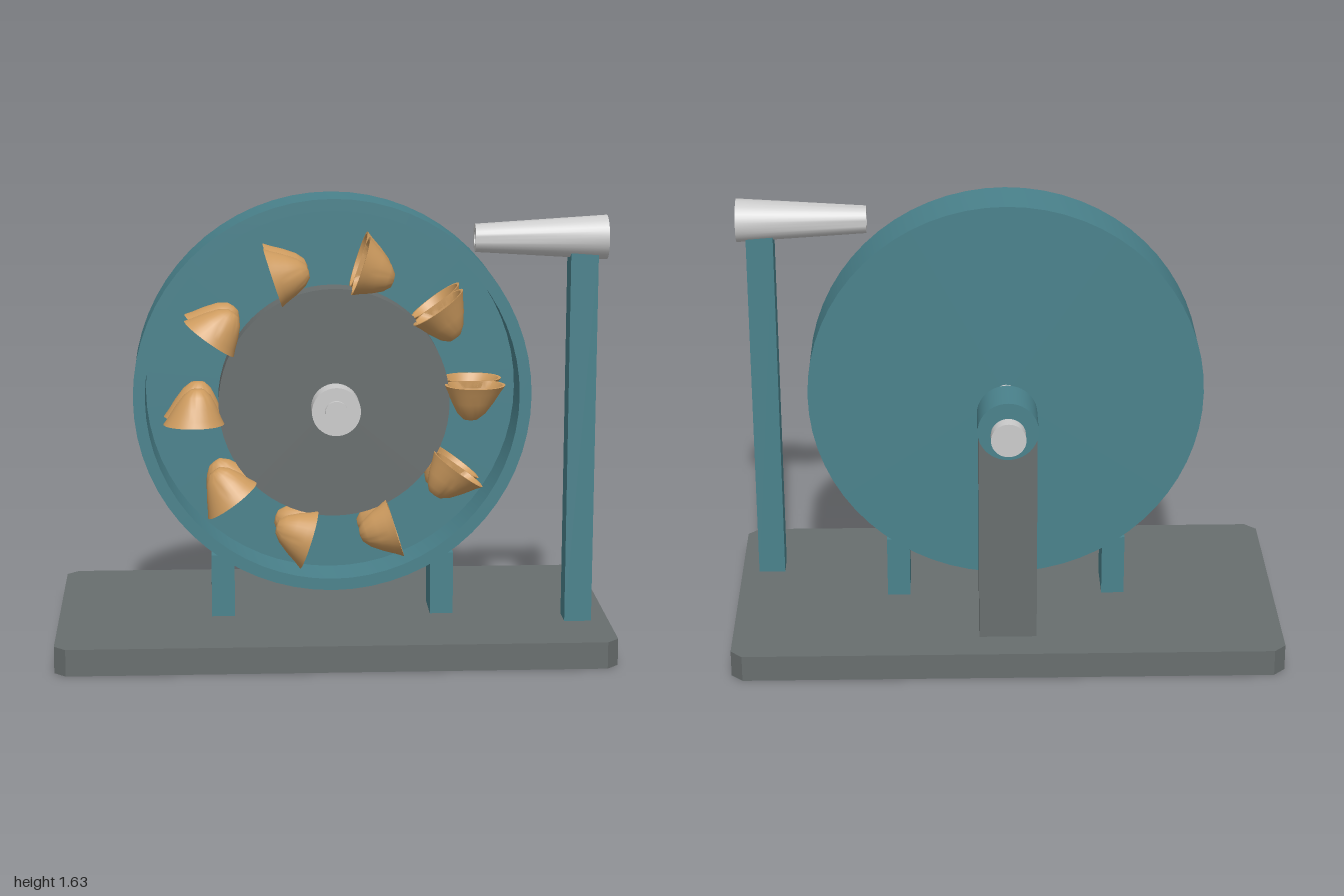
import * as THREE from 'three';
import { toCreasedNormals, mergeGeometries } from 'three/addons/utils/BufferGeometryUtils.js';

const mat = (color, side = THREE.FrontSide) => new THREE.MeshStandardMaterial({ color, side });
const teal = mat(0x4a828c), dark = mat(0x686e6e), steel = mat(0xcccccc);
const bronze = mat(0xcc9a5e, THREE.DoubleSide);

const AXIS_Y = 0.915;   // height of the shaft
const WHEEL_Z = 0.2;    // middle plane of runner and nozzle

export function createModel() {
  const model = new THREE.Group();

  const add = (name, geometry, material, x = 0, y = 0, z = 0, parent = model) => {
    const mesh = new THREE.Mesh(geometry, material);
    mesh.name = name;
    mesh.position.set(x, y, z);
    parent.add(mesh);
    return mesh;
  };
  // Box given by its extents
  const box = (name, material, x0, x1, y0, y1, z0, z1) =>
    add(name, new THREE.BoxGeometry(x1 - x0, y1 - y0, z1 - z0), material,
      (x0 + x1) / 2, (y0 + y1) / 2, (z0 + z1) / 2);
  // Cylinder along z on the shaft axis
  const disc = (name, material, r, z0, z1, sides = 40) =>
    add(name, new THREE.CylinderGeometry(r, r, z1 - z0, sides).rotateX(Math.PI / 2),
      material, 0, AXIS_Y, (z0 + z1) / 2);
  // Turned solid from [radius, height] pairs
  const turned = (points, sides, crease = 0.6) => toCreasedNormals(
    new THREE.LatheGeometry(points.map(p => new THREE.Vector2(...p)), sides), crease);

  // Base plate with cut corners
  const c = 0.042, w = 1, d = 0.52;
  const plate = new THREE.Shape([
    [-w + c, -d], [w - c, -d], [w, -d + c], [w, d - c],
    [w - c, d], [-w + c, d], [-w, d - c], [-w, -d + c],
  ].map(p => new THREE.Vector2(...p)));
  add('basePlate', new THREE.ExtrudeGeometry(plate, { depth: 0.097, bevelEnabled: false })
    .rotateX(-Math.PI / 2), dark);

  // Round housing, open at the front
  add('housing', turned([
    [0, -0.067], [0.718, -0.067], [0.718, 0.15], [0.675, 0.15], [0.675, -0.03], [0, -0.03],
  ], 64).rotateX(Math.PI / 2), teal, 0, AXIS_Y, 0);
  for (const s of [-1, 1])
    box('housingFoot', teal, s * 0.4 - 0.042, s * 0.4 + 0.042, 0.095, 0.327, -0.05, 0.127);

  // Shaft, hub and rear bearing
  disc('runnerDisc', dark, 0.412, 0.15, 0.25, 64);
  disc('shaft', steel, 0.04, -0.43, 0.418);
  disc('frontHub', steel, 0.086, 0.32, 0.403);
  disc('rearShaftCap', steel, 0.062, -0.475, -0.425);
  disc('bearing', teal, 0.108, -0.398, -0.236);
  box('bearingPost', dark, -0.104, 0.104, 0.095, 0.875, -0.388, -0.242);

  // Double-cup bucket: a turned bowl flattened at the dividing plane, and its twin
  const cup = new THREE.LatheGeometry([
    [0, -0.062], [0.025, -0.058], [0.05, -0.036], [0.075, 0.004], [0.094, 0.042],
    [0.108, 0.066], [0.098, 0.066], [0.083, 0.042], [0.062, 0.004], [0.036, -0.03], [0, -0.046],
  ].map(p => new THREE.Vector2(...p)), 32);
  const pos = cup.attributes.position;
  for (let i = 0; i < pos.count; i++) {
    const x = pos.getX(i), y = pos.getY(i), z = pos.getZ(i);
    // Lean the crown a little toward the shaft and clip at the splitter
    const lean = 0.12 * (y - 0.066);
    pos.setXYZ(i, x + lean, y, Math.max(0.004, 0.07 + z * 0.87));
  }
  const twin = cup.clone();
  twin.scale(1, 1, -1);
  const index = twin.index.array;
  for (let i = 0; i < index.length; i += 3) [index[i], index[i + 1]] = [index[i + 1], index[i]];
  const bucketGeometry = toCreasedNormals(mergeGeometries([cup, twin]), 0.7);

  const buckets = new THREE.Group();
  buckets.name = 'buckets';
  buckets.position.set(0, AXIS_Y, WHEEL_Z);
  model.add(buckets);
  for (let i = 0; i < 10; i++) {
    const a = i * Math.PI / 5;
    add('bucket', bucketGeometry, bronze, 0.5 * Math.cos(a), 0.5 * Math.sin(a), 0, buckets)
      .rotation.z = a;
  }

  // Tapered hollow nozzle on its post
  box('nozzlePost', teal, 0.838, 0.936, 0.095, 1.47, 0.15, 0.25);
  add('nozzle', turned([
    [0.027, 0.5], [0.05, 0.5], [0.079, 0.97], [0.053, 0.97], [0.027, 0.5],
  ], 32).rotateZ(-Math.PI / 2), steel, 0, 1.498, WHEEL_Z);

  return model;
}
